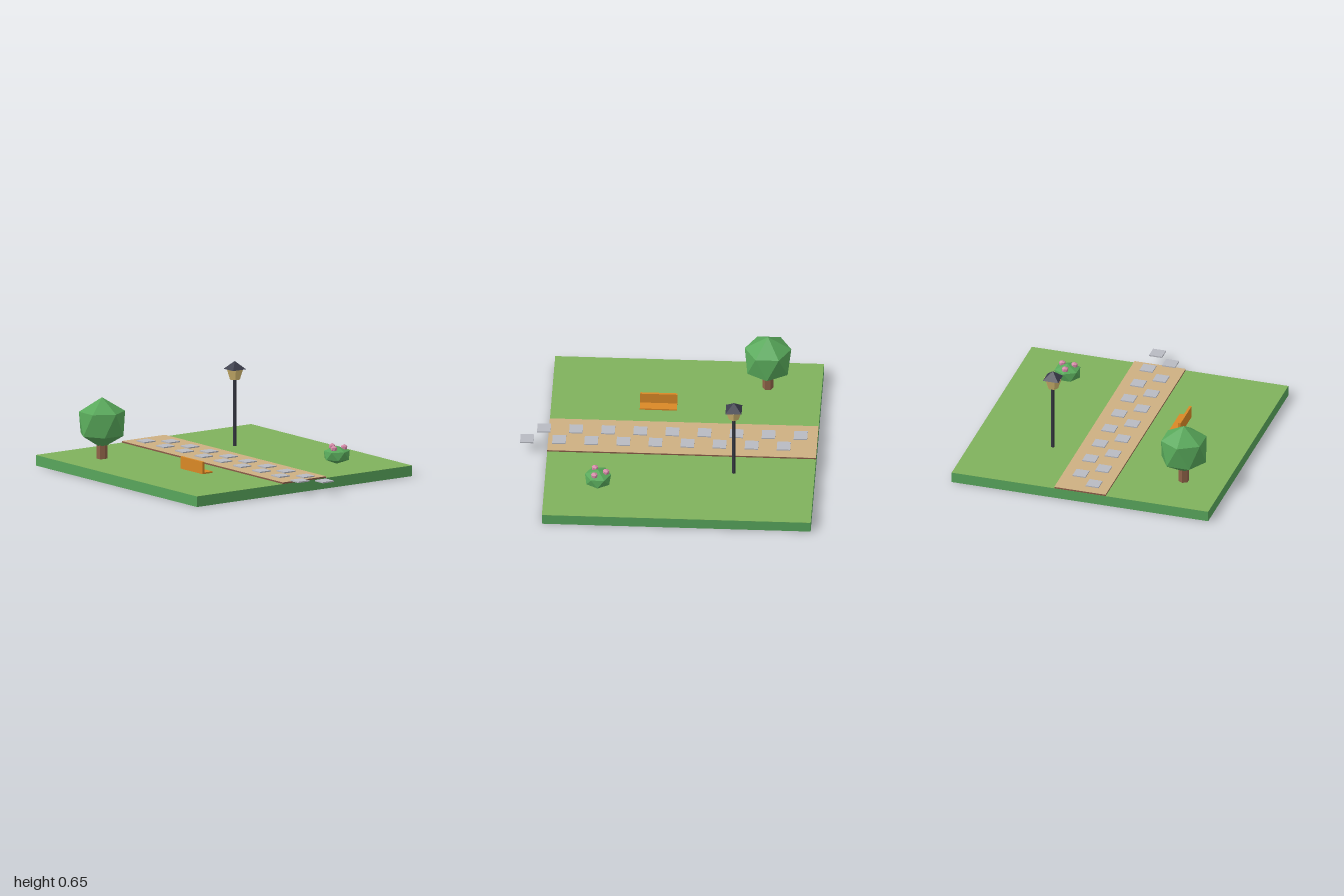
import * as THREE from 'three';

const mat = (color) => new THREE.MeshStandardMaterial({ color, flatShading: true });
const M = {
  earth: mat(0x58a65c), grass: mat(0x7fb25c), leaf: mat(0x58a85a), trunk: mat(0x8f6248),
  pathSide: mat(0x8a5c48), path: mat(0xcdaf82), stone: mat(0xb8bac2), bench: mat(0xd98826),
  iron: mat(0x343640), roof: mat(0x3c3e4c), glass: mat(0xd9bd74), flower: mat(0xd58aa8),
};

function add(parent, name, geometry, material, x, y, z) {
  const mesh = new THREE.Mesh(geometry, material);
  mesh.name = name;
  mesh.position.set(x, y, z);
  parent.add(mesh);
  return mesh;
}

// Box given by its min and max corners
function box(parent, name, material, [x0, y0, z0], [x1, y1, z1]) {
  const g = new THREE.BoxGeometry(x1 - x0, y1 - y0, z1 - z0);
  return add(parent, name, g, material, (x0 + x1) / 2, (y0 + y1) / 2, (z0 + z1) / 2);
}

// Faceted crown: tip, two staggered six-point rings, tip
function crownGeometry(r, half) {
  const p = [0, half, 0], index = [];
  for (const [y, turn] of [[0.45, 0], [-0.45, 0.5]]) {
    for (let k = 0; k < 6; k++) {
      const a = (k + turn) * Math.PI / 3;
      p.push(r * Math.sin(a), y * half, r * Math.cos(a));
    }
  }
  p.push(0, -half, 0);
  for (let k = 0; k < 6; k++) {
    const n = (k + 1) % 6, u = 1 + k, u2 = 1 + n, l = 7 + k, l2 = 7 + n;
    index.push(0, u, u2, u, l, u2, l, l2, u2, 13, l2, l);
  }
  const g = new THREE.BufferGeometry();
  g.setAttribute('position', new THREE.Float32BufferAttribute(p, 3));
  g.setIndex(index);
  const flat = g.toNonIndexed();
  flat.computeVertexNormals();
  return flat;
}

function group(parent, name) {
  const g = new THREE.Group();
  g.name = name;
  parent.add(g);
  return g;
}

export function createModel() {
  const model = new THREE.Group();
  model.name = 'parkScene';
  const top = 0.073;

  // Lawn slab with a lighter grass top
  box(model, 'groundSlab', M.earth, [-0.905, 0, -1], [0.905, top - 0.001, 0.813]);
  box(model, 'grass', M.grass, [-0.905, top - 0.001, -1], [0.905, top, 0.813]);

  // Path with a pale surface
  box(model, 'pathBase', M.pathSide, [-0.181, top, -1], [0.181, 0.083, 0.813]);
  box(model, 'pathSurface', M.path, [-0.181, 0.083, -1], [0.181, 0.084, 0.813]);

  // Stepping stones in two staggered rows, running past the front edge
  const stones = group(model, 'steppingStones');
  const stone = new THREE.BoxGeometry(0.091, 0.009, 0.091);
  for (let i = 0; i < 18; i++) {
    add(stones, 'stone', stone, M.stone, i % 2 ? 0.062 : -0.064, 0.0875, -0.885 + i * 0.1082);
  }

  // Tree
  const tree = group(model, 'tree');
  add(tree, 'trunk', new THREE.CylinderGeometry(0.036, 0.036, 0.16, 6), M.trunk, -0.62, top + 0.08, -0.637);
  add(tree, 'crown', crownGeometry(0.157, 0.175), M.leaf, -0.62, 0.318, -0.637);

  // Bench: low seat and upright back
  const bench = group(model, 'bench');
  box(bench, 'seat', M.bench, [-0.408, top, -0.036], [-0.325, 0.083, 0.214]);
  box(bench, 'back', M.bench, [-0.41, top, -0.036], [-0.393, 0.156, 0.214]);

  // Lamp post with six-sided lantern and four-sided roof
  const lamp = group(model, 'lamp');
  const [lx, lz] = [0.361, -0.455];
  add(lamp, 'post', new THREE.CylinderGeometry(0.012, 0.012, 0.46, 8), M.iron, lx, top + 0.23, lz);
  const lantern = add(lamp, 'lantern', new THREE.CylinderGeometry(0.06, 0.037, 0.07, 6), M.glass, lx, 0.565, lz);
  lantern.rotation.y = Math.PI / 6;
  const roof = add(lamp, 'lanternRoof', new THREE.ConeGeometry(0.077, 0.055, 4), M.roof, lx, 0.6275, lz);
  roof.rotation.y = Math.PI / 4;

  // Flowering bush
  const bush = group(model, 'bush');
  add(bush, 'bushLeaves', crownGeometry(0.0885, 0.062), M.leaf, 0.541, 0.133, 0.452);
  const bloom = crownGeometry(0.022, 0.022);
  for (const [x, z] of [[0.499, 0.475], [0.585, 0.475], [0.541, 0.398]]) {
    add(bush, 'flower', bloom, M.flower, x, 0.182, z);
  }
  return model;
}
